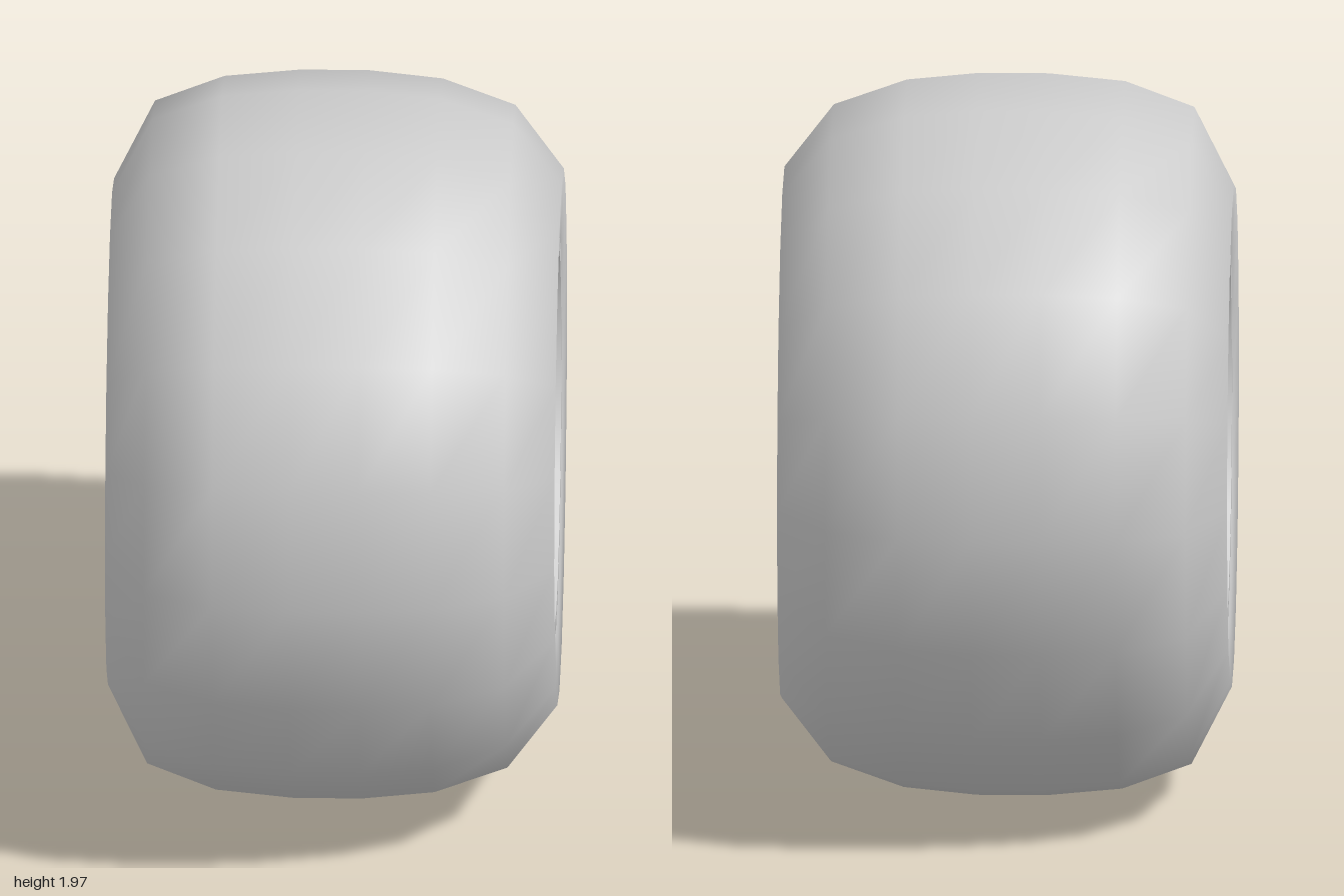
import * as THREE from 'three';

const SIDES = 18, SPOKES = 9, AXLE_Y = 0.985;
const grey = (opts = {}) => new THREE.MeshStandardMaterial({ color: 0xcccccc, side: THREE.DoubleSide, ...opts });

// Revolves [x, radius] pairs around the axle
function revolve(name, profile) {
  const geo = new THREE.LatheGeometry(profile.map(([x, r]) => new THREE.Vector2(r, x)), SIDES);
  geo.rotateZ(-Math.PI / 2);
  const mesh = new THREE.Mesh(geo, grey());
  mesh.name = name;
  return mesh;
}

// Pressed wheel centre: hub cone, raised tapering spokes and sunken cells
function wheelCentre() {
  const face = -0.32, floor = -0.22, step = (Math.PI * 2) / SPOKES;
  const pos = [];
  const tri = (...pts) => pts.forEach((p) => pos.push(p.x, p.y, p.z));
  const quad = (a, b, c, d) => { tri(a, b, c); tri(a, c, d); };
  // Point at radius r along angle t, shifted sideways by w
  const at = (t, r, w, x) => new THREE.Vector3(
    x, r * Math.sin(t) + w * Math.cos(t), r * Math.cos(t) - w * Math.sin(t));
  const sector = (k) => {
    const t = k * step, m = t + step / 2;
    return {
      ca: at(t, 0.08, -0.015, face), cb: at(t, 0.08, 0.015, face), cv: at(m, 0.08, 0, face),
      ia: at(t, 0.18, -0.024, face), ib: at(t, 0.18, 0.024, face), v: at(m, 0.165, 0, face),
      iaf: at(t, 0.2, -0.03, floor), ibf: at(t, 0.2, 0.03, floor), vf: at(m, 0.19, 0, floor),
      oa: at(t, 0.44, -0.012, face), ob: at(t, 0.44, 0.012, face), rim: at(m, 0.44, 0, face),
    };
  };
  const tip = new THREE.Vector3(-0.368, 0, 0);
  for (let k = 0; k < SPOKES; k++) {
    const s = sector(k), n = sector(k + 1);
    // hub cone
    tri(tip, s.ca, s.cb);
    tri(tip, s.cb, s.cv);
    tri(tip, s.cv, n.ca);
    // hub plate and spoke top
    quad(s.ca, s.ia, s.ib, s.cb);
    quad(s.cb, s.ib, s.v, s.cv);
    quad(s.cv, s.v, n.ia, n.ca);
    quad(s.ia, s.oa, s.ob, s.ib);
    // spoke flanks and hub walls
    tri(s.ib, s.ob, s.ibf);
    tri(n.ia, n.iaf, n.oa);
    quad(s.ib, s.ibf, s.vf, s.v);
    quad(s.v, s.vf, n.iaf, n.ia);
    // cell between two spokes
    tri(s.vf, s.ibf, s.ob);
    tri(s.vf, s.ob, s.rim);
    tri(s.vf, s.rim, n.oa);
    tri(s.vf, n.oa, n.iaf);
  }
  const geo = new THREE.BufferGeometry();
  geo.setAttribute('position', new THREE.Float32BufferAttribute(pos, 3));
  geo.computeVertexNormals();
  const mesh = new THREE.Mesh(geo, grey({ flatShading: true }));
  mesh.name = 'spokedCentre';
  return mesh;
}

export function createModel() {
  const model = new THREE.Group();
  model.name = 'wheel';
  const wheel = new THREE.Group();
  wheel.name = 'wheelAssembly';
  wheel.position.y = AXLE_Y;

  wheel.add(revolve('tyre', [
    [-0.59, 0.565], [-0.61, 0.58], [-0.62, 0.695], [-0.51, 0.91], [-0.32, 0.98], [-0.11, 1],
    [0.08, 1], [0.28, 0.98], [0.48, 0.91], [0.615, 0.737], [0.61, 0.58], [0.59, 0.565],
  ]));

  // Rim lips on both sides, then the barrel narrowing towards the spokes
  for (const side of [1, -1]) {
    const lip = [[0.585, 0.565], [0.605, 0.555], [0.605, 0.51]].map(([x, r]) => [x * side, r]);
    const flange = [[0.605, 0.51], [0.56, 0.478]].map(([x, r]) => [x * side, r]);
    if (side < 0) { lip.reverse(); flange.reverse(); }
    const label = side > 0 ? 'left' : 'right';
    wheel.add(revolve(label + 'RimLip', lip), revolve(label + 'RimFlange', flange));
  }
  wheel.add(revolve('innerBarrel', [[0.56, 0.478], [-0.32, 0.44]]));
  wheel.add(revolve('outerBarrel', [[-0.32, 0.44], [-0.56, 0.478]]));
  wheel.add(wheelCentre());

  model.add(wheel);
  return model;
}
